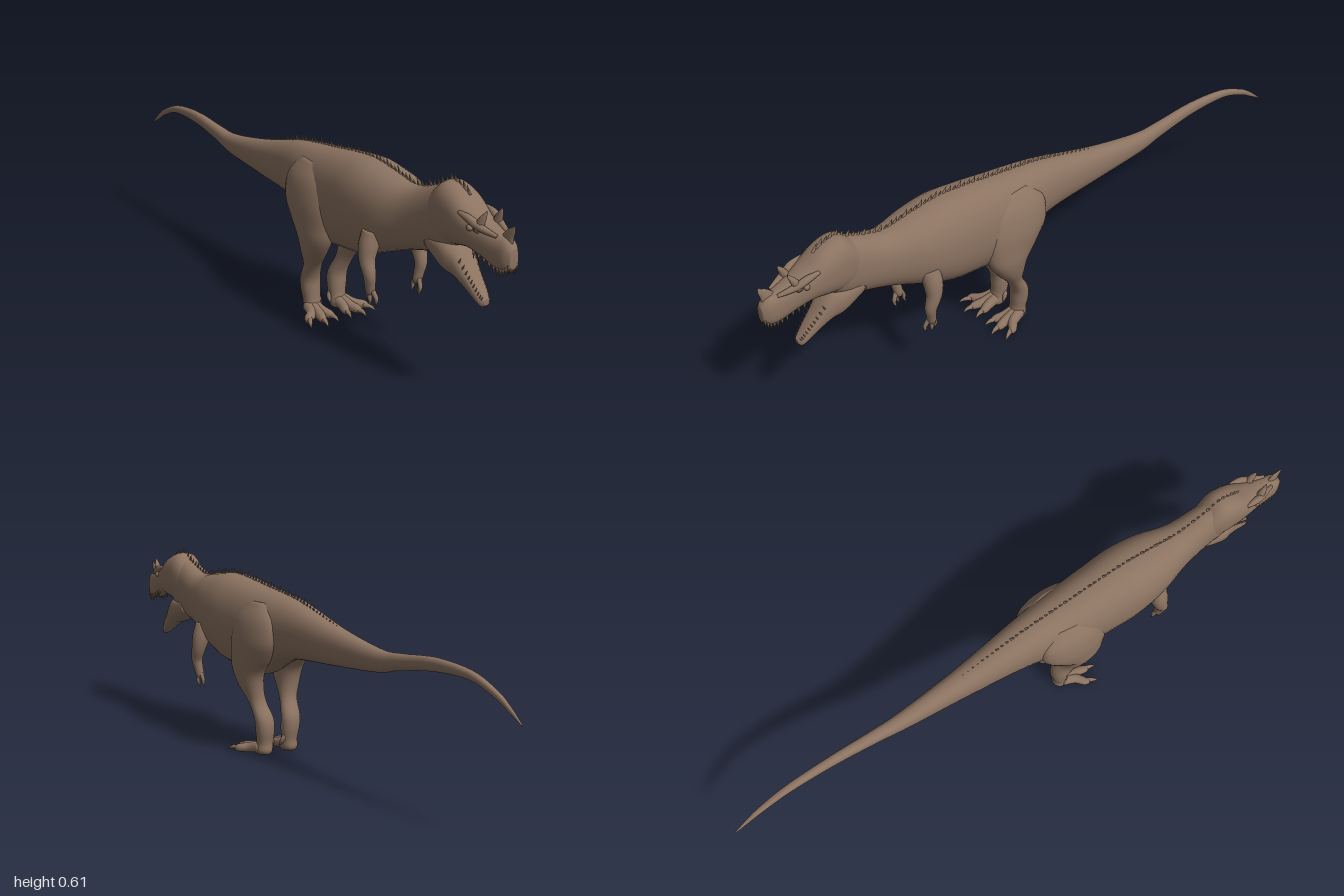
import * as THREE from 'three';

const V = (x, y, z) => new THREE.Vector3(x, y, z);

// Catmull-Rom interpolation of a row of numbers at t in 0..1
function sample(rows, t) {
  const f = t * (rows.length - 1), i = Math.min(Math.floor(f), rows.length - 2), u = f - i;
  const at = k => rows[Math.max(0, Math.min(rows.length - 1, k))];
  return rows[0].map((_, c) => {
    const [a, b, d, e] = [at(i - 1)[c], at(i)[c], at(i + 1)[c], at(i + 2)[c]];
    return b + 0.5 * u * (d - a + u * (2 * a - 5 * b + 4 * d - e + u * (3 * (b - d) + e - a)));
  });
}
const smoothRows = (rows, per) => {
  const n = (rows.length - 1) * per;
  return Array.from({ length: n + 1 }, (_, i) => sample(rows, i / n));
};

// Skin closed rings of points, capped at both ends, always facing outward
function loft(rings) {
  const n = rings[0].length, pts = rings.flat(), idx = [];
  for (let r = 0; r < rings.length - 1; r++) for (let j = 0; j < n; j++) {
    const a = r * n + j, b = r * n + (j + 1) % n;
    idx.push(a, b, a + n, b, b + n, a + n);
  }
  [0, rings.length - 1].forEach((r, end) => {
    const mid = V(0, 0, 0);
    rings[r].forEach(p => mid.addScaledVector(p, 1 / n));
    const c = pts.push(mid) - 1;
    for (let j = 0; j < n; j++) {
      const a = r * n + j, b = r * n + (j + 1) % n;
      end ? idx.push(c, a, b) : idx.push(c, b, a);
    }
  });
  let volume = 0;
  for (let i = 0; i < idx.length; i += 3)
    volume += pts[idx[i]].dot(V(0, 0, 0).crossVectors(pts[idx[i + 1]], pts[idx[i + 2]]));
  if (volume < 0) idx.reverse();
  const g = new THREE.BufferGeometry().setFromPoints(pts);
  g.setIndex(idx);
  g.computeVertexNormals();
  return g;
}

// Superellipse offsets
const TAU = Math.PI * 2;
function ring(n, power, fn) {
  const s = v => Math.sign(v) * Math.abs(v) ** power;
  return Array.from({ length: n }, (_, j) => fn(s(Math.cos(j / n * TAU)), s(Math.sin(j / n * TAU))));
}
// Rows: z, bottom, top, half width
const alongZ = (rows, power = 0.88) => loft(smoothRows(rows, 5).map(([z, b, t, w]) =>
  ring(32, power, (c, s) => V(w * c, (b + t) / 2 + s * (t - b) / 2, z))));
// Rows: y, inner x, outer x, back z, front z
const alongY = (rows, side) => loft(smoothRows(rows, 4).map(([y, x0, x1, z0, z1]) =>
  ring(24, 0.95, (c, s) => V(side * ((x0 + x1) / 2 + c * (x1 - x0) / 2), y, (z0 + z1) / 2 + s * (z1 - z0) / 2))));
// Rows: x, y, z, radius
function taper(rows, side = 1, sides = 12) {
  const p = smoothRows(rows, 4).map(([x, y, z, r]) => ({ c: V(side * x, y, z), r: Math.max(r, 0.0006) }));
  return loft(p.map(({ c, r }, i) => {
    const d = p[Math.min(i + 1, p.length - 1)].c.clone().sub(p[Math.max(i - 1, 0)].c).normalize();
    const u = V(1, 0, 0).addScaledVector(d, -d.x).normalize(), v = d.clone().cross(u);
    return ring(sides, 1, (a, b) => c.clone().addScaledVector(u, a * r).addScaledVector(v, b * r));
  }));
}

const BODY = [
  [-1, 0.327, 0.331, 0.002], [-0.95, 0.354, 0.372, 0.006], [-0.9, 0.38, 0.402, 0.009], [-0.8, 0.41, 0.437, 0.012],
  [-0.65, 0.407, 0.447, 0.015], [-0.5, 0.383, 0.433, 0.02], [-0.4, 0.361, 0.43, 0.026],
  [-0.2, 0.345, 0.463, 0.042], [0, 0.331, 0.512, 0.065], [0.1, 0.298, 0.528, 0.08],
  [0.2, 0.25, 0.54, 0.094], [0.3, 0.255, 0.553, 0.1], [0.4, 0.27, 0.56, 0.105],
  [0.5, 0.308, 0.548, 0.094], [0.6, 0.347, 0.535, 0.066], [0.7, 0.375, 0.568, 0.053],
  [0.75, 0.39, 0.588, 0.053], [0.8, 0.43, 0.57, 0.045],
];
const SKULL = [
  [0.69, 0.43, 0.55, 0.046], [0.74, 0.42, 0.592, 0.057], [0.8, 0.428, 0.579, 0.058], [0.85, 0.436, 0.545, 0.051],
  [0.9, 0.425, 0.52, 0.04], [0.95, 0.408, 0.505, 0.031], [0.98, 0.408, 0.497, 0.025], [0.998, 0.425, 0.475, 0.014],
];
const JAW = [
  [0.69, 0.385, 0.44, 0.046], [0.76, 0.347, 0.44, 0.052], [0.8, 0.335, 0.42, 0.042], [0.84, 0.314, 0.373, 0.031],
  [0.87, 0.296, 0.34, 0.025], [0.893, 0.283, 0.314, 0.018], [0.903, 0.291, 0.306, 0.009],
];
const LEG = [
  [0.5, 0.02, 0.07, 0.11, 0.21], [0.45, 0.02, 0.103, 0.06, 0.265], [0.38, 0.02, 0.118, 0.055, 0.285],
  [0.32, 0.025, 0.118, 0.09, 0.283], [0.27, 0.03, 0.116, 0.13, 0.27], [0.22, 0.033, 0.105, 0.143, 0.238],
  [0.17, 0.03, 0.088, 0.142, 0.197], [0.12, 0.019, 0.083, 0.117, 0.172], [0.08, 0.017, 0.08, 0.114, 0.17],
  [0.04, 0.02, 0.074, 0.121, 0.172], [0.015, 0.02, 0.077, 0.12, 0.186], [0.002, 0.026, 0.07, 0.126, 0.18],
];

export function createModel() {
  const model = new THREE.Group();
  const hide = new THREE.MeshStandardMaterial({ color: 0x8c7361 });
  hide.name = 'brown hide';
  const add = (name, geometry, parent = model) => {
    const m = new THREE.Mesh(geometry, hide);
    m.name = name;
    parent.add(m);
    return m;
  };
  const group = name => {
    const g = new THREE.Group();
    g.name = name;
    model.add(g);
    return g;
  };

  add('bodyAndTail', alongZ(BODY));
  add('upperHead', alongZ(SKULL, 0.8));
  add('lowerJaw', alongZ(JAW, 0.8));

  // Row of small plates down the spine, leaning back
  const crest = group('spineCrest');
  const profile = smoothRows(BODY, 40).concat(smoothRows(SKULL, 40));
  const topAt = z => profile.reduce((best, r) =>
    Math.abs(r[0] - z) < 0.006 ? Math.max(best, r[2]) : best, 0);
  const plate = new THREE.ConeGeometry(0.011, 0.034, 6).scale(0.35, 1, 1).rotateX(-0.45);
  for (let i = 0; i < 58; i++) {
    const z = 0.81 - i * 0.0175;
    const size = (0.85 + 0.2 * Math.sin(i * 2.3)) * (i < 48 ? 1 : 1 - (i - 47) * 0.07);
    const spike = add('spinePlate', plate, crest);
    spike.position.set(0, topAt(z) + 0.004 * size, z);
    spike.scale.setScalar(size);
  }

  // Bladed nose horn
  const horn = taper([[0, 0.485, 0.965, 0.024], [0, 0.51, 0.977, 0.016], [0, 0.525, 0.988, 0.009], [0, 0.538, 0.993, 0.001]]);
  add('noseHorn', horn.scale(0.4, 1, 1));

  const teeth = group('teeth');
  const tooth = new THREE.ConeGeometry(0.0045, 0.026, 6);
  for (const side of [1, -1]) {
    const label = side > 0 ? 'left' : 'right';

    // Brow horns, brow ridges and eyes
    add(label + 'BrowHorn', taper([[0.03, 0.5, 0.888, 0.014], [0.029, 0.528, 0.9, 0.011],
      [0.027, 0.546, 0.91, 0.006], [0.025, 0.558, 0.915, 0.001]], side));
    add(label + 'BrowRidge', taper([[0.046, 0.535, 0.83, 0.005], [0.042, 0.527, 0.865, 0.011],
      [0.034, 0.512, 0.9, 0.011], [0.02, 0.5, 0.95, 0.005]], side));
    const eye = add(label + 'Eye', new THREE.SphereGeometry(0.009, 16, 12));
    eye.position.set(side * 0.044, 0.505, 0.873);

    // Teeth along both jaws
    for (let i = 0; i < 10; i++) {
      const [z, bottom, , w] = sample(SKULL, 0.52 + i * 0.048);
      const upper = add('upperTooth', tooth, teeth);
      upper.position.set(side * w * 0.78, bottom + 0.001, z);
      upper.rotation.x = Math.PI;
      const [jz, , top, jw] = sample(JAW, 0.42 + i * 0.05);
      const lower = add('lowerTooth', tooth, teeth);
      lower.position.set(side * jw * 0.8, top - 0.003, jz);
      lower.rotation.x = 0.5;
      lower.scale.setScalar(0.8);
    }

    // Hind leg, three clawed toes and a dewclaw
    add(label + 'HindLeg', alongY(LEG, side));
    for (const [x, z] of [[0.105, 0.225], [0.066, 0.245], [0.028, 0.232]]) {
      const mx = 0.048 + (x - 0.048) * 0.5, mz = 0.155 + (z - 0.155) * 0.5;
      add(label + 'Toe', taper([[0.048 + (x - 0.048) * 0.2, 0.025, 0.15, 0.02], [mx, 0.017, mz, 0.0165],
        [x * 0.9 + mx * 0.1, 0.014, z - 0.012, 0.0135], [x, 0.012, z, 0.009]], side));
      const dx = (x - 0.048) * 0.25;
      add(label + 'ToeClaw', taper([[x - dx * 0.3, 0.014, z - 0.007, 0.009],
        [x + dx * 0.5, 0.013, z + 0.014, 0.006], [x + dx, 0.003, z + 0.03, 0.001]], side));
    }
    add(label + 'Dewclaw', taper([[0.028, 0.05, 0.14, 0.01], [0.019, 0.035, 0.145, 0.008], [0.016, 0.018, 0.155, 0.001]], side));

    // Short arm with clawed fingers
    add(label + 'Arm', taper([[0.07, 0.38, 0.49, 0.03], [0.083, 0.34, 0.49, 0.03], [0.091, 0.3, 0.495, 0.024],
      [0.091, 0.26, 0.508, 0.019], [0.087, 0.23, 0.506, 0.016], [0.083, 0.205, 0.503, 0.014], [0.081, 0.193, 0.502, 0.008]], side, 16));
    for (const [x, z] of [[0.078, 0.524], [0.088, 0.507], [0.08, 0.488]])
      add(label + 'Finger', taper([[0.083, 0.212, 0.503 + (z - 0.503) * 0.4, 0.008], [x, 0.19, z, 0.0068],
        [x - 0.001, 0.178, z, 0.005], [x - 0.005, 0.163, z - 0.004, 0.0008]], side, 8));
  }
  return model;
}
